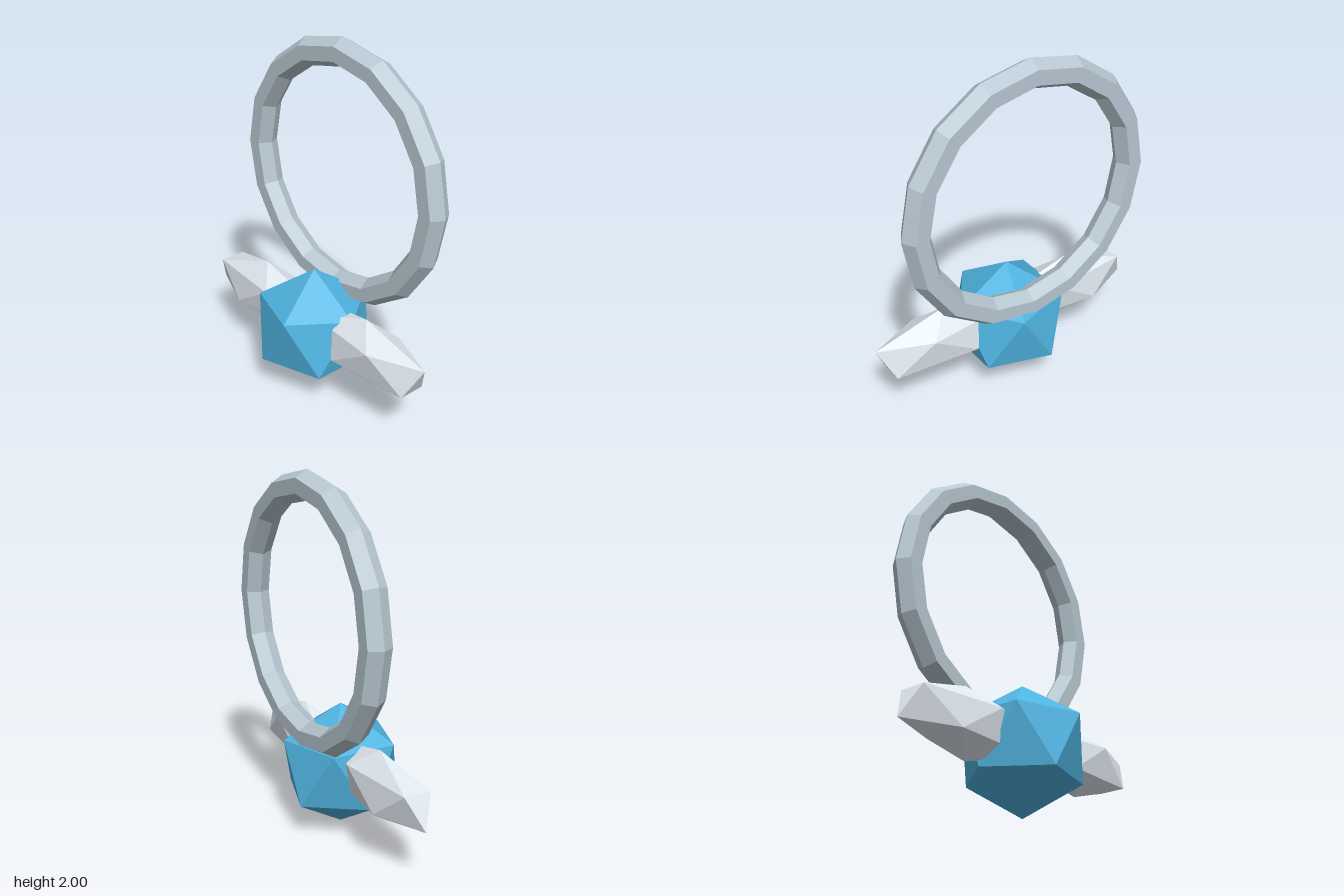
import * as THREE from 'three';

const flat = (color) => new THREE.MeshStandardMaterial({ color, flatShading: true });

// Icosahedron standing on a corner, with an upper-ring corner pointing to +x
function gem(name, material, sx, sy, sz, x, y, z) {
  const geometry = new THREE.IcosahedronGeometry(1, 0);
  geometry.rotateX(-Math.atan((1 + Math.sqrt(5)) / 2));
  geometry.rotateY(Math.PI / 2);
  geometry.scale(sx, sy, sz);
  const mesh = new THREE.Mesh(geometry, material);
  mesh.name = name;
  mesh.position.set(x, y, z);
  return mesh;
}

export function createModel() {
  const model = new THREE.Group();
  model.name = 'wingedGemWithRing';

  // Central blue gem
  model.add(gem('core', flat(0x4fb3e0), 0.357, 0.357, 0.357, 0, 0.359, 0));

  // Stretched side crystals, same orientation on both sides
  const wingMaterial = flat(0xe0e8f0);
  for (const [name, side] of [['leftWing', 1], ['rightWing', -1]]) {
    model.add(gem(name, wingMaterial, 0.486, 0.193, 0.146, side * 0.421, 0.395, 0));
  }

  // Upright six-sided ring behind the gem
  const ring = new THREE.Mesh(new THREE.TorusGeometry(0.68, 0.08, 6, 16), flat(0xb8c8d2));
  ring.name = 'ring';
  ring.position.set(0, 1.24, -0.193);
  model.add(ring);

  return model;
}
